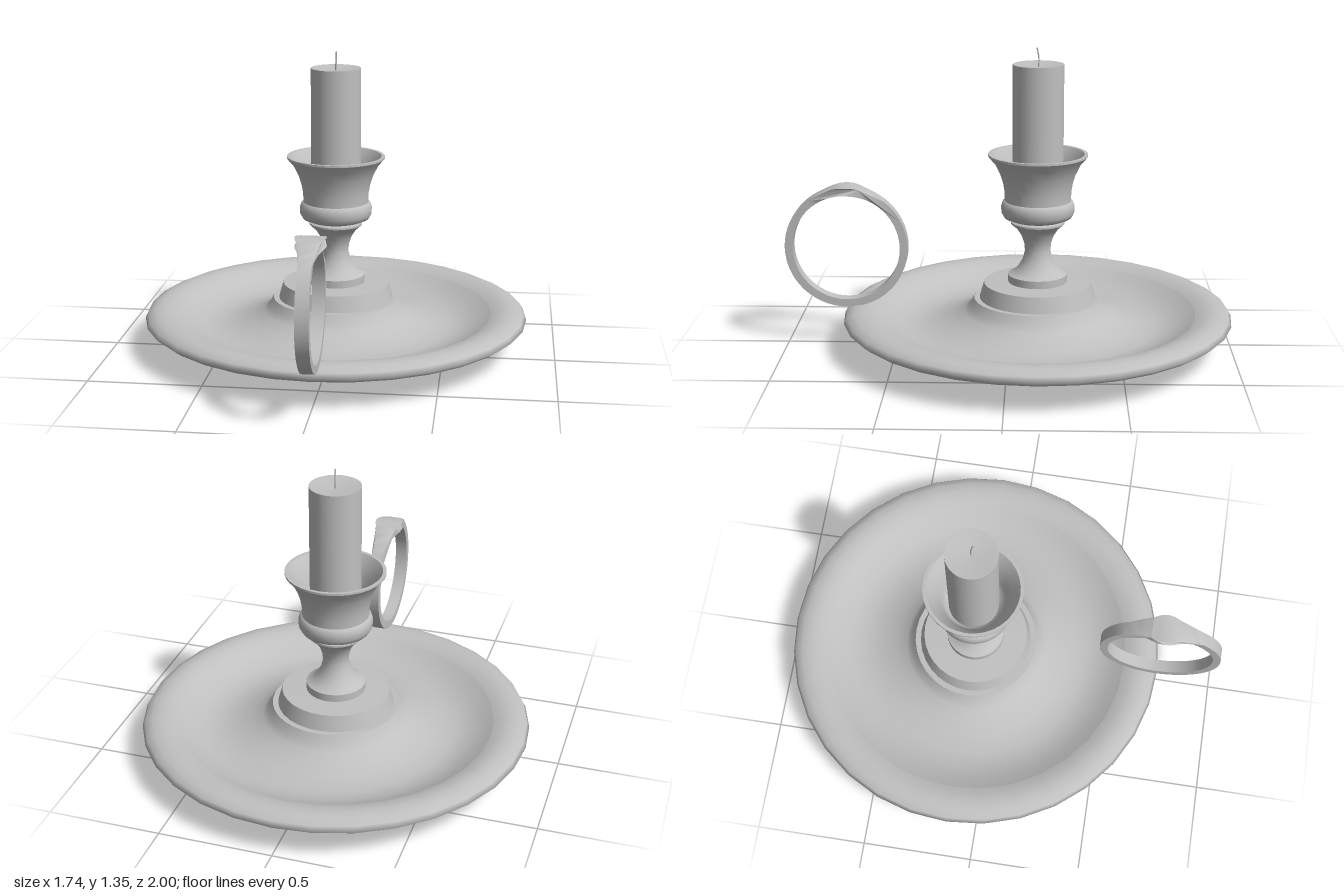
import * as THREE from 'three';
import { toCreasedNormals } from 'three/addons/utils/BufferGeometryUtils.js';

const AXIS_Z = -0.13; // the dish and candle share this upright axis

export function createModel() {
  const model = new THREE.Group();
  model.name = 'chamberCandlestick';
  const metal = new THREE.MeshStandardMaterial({ color: 0xc0c0c0, side: THREE.DoubleSide });
  metal.name = 'plain grey';

  // Turned part: each run of [radius, y] points is smooth, with a sharp edge between runs
  function turned(name, runs, segments = 32) {
    const group = new THREE.Group();
    group.name = name;
    for (const run of runs) {
      const points = run.map(([r, y]) => new THREE.Vector2(r, y));
      const mesh = new THREE.Mesh(new THREE.LatheGeometry(points, segments), metal);
      mesh.name = name + 'Surface';
      group.add(mesh);
    }
    group.position.z = AXIS_Z;
    model.add(group);
  }

  turned('foot', [
    [[0, 0], [0.355, 0]],
    [[0.355, 0], [0.355, 0.04]],
  ]);

  // Dish with a rolled rim and a raised centre
  turned('dish', [
    [[0.3, 0.036], [0.355, 0.04], [0.5, 0.052], [0.66, 0.075], [0.78, 0.1], [0.845, 0.122],
      [0.87, 0.142], [0.858, 0.165], [0.825, 0.181], [0.785, 0.186], [0.745, 0.18], [0.71, 0.165]],
    [[0.71, 0.165], [0.66, 0.136], [0.6, 0.112], [0.53, 0.1], [0.45, 0.113],
      [0.38, 0.138], [0.33, 0.165], [0.305, 0.188], [0.285, 0.225]],
  ]);

  turned('steppedBase', [
    [[0.285, 0.225], [0.26, 0.225]],
    [[0.26, 0.225], [0.24, 0.295]],
    [[0.24, 0.295], [0.1, 0.3]],
  ]);

  turned('stem', [
    [[0.132, 0.298], [0.132, 0.333]],
    [[0.132, 0.333], [0.112, 0.342], [0.088, 0.365], [0.067, 0.4], [0.057, 0.44],
      [0.06, 0.475], [0.072, 0.51], [0.092, 0.542], [0.12, 0.567]],
    [[0.12, 0.567], [0.12, 0.575]],
    [[0.12, 0.575], [0.1, 0.576], [0.1, 0.586]],
  ]);

  // Flared socket, hollow above
  turned('socket', [
    [[0.08, 0.583], [0.12, 0.585]],
    [[0.12, 0.585], [0.15, 0.597], [0.162, 0.618], [0.163, 0.645], [0.157, 0.665], [0.147, 0.672]],
    [[0.147, 0.672], [0.148, 0.71], [0.155, 0.752], [0.169, 0.795], [0.19, 0.838], [0.22, 0.873]],
    [[0.22, 0.873], [0.22, 0.882]],
    [[0.22, 0.882], [0.205, 0.882]],
    [[0.205, 0.882], [0.178, 0.843], [0.155, 0.795], [0.14, 0.75], [0.125, 0.71], [0.09, 0.69]],
  ]);

  turned('candle', [
    [[0.112, 0.66], [0.112, 1.278]],
    [[0.112, 1.278], [0.1, 1.277], [0.06, 1.27], [0, 1.266]],
  ]);

  // Wick, slightly bent
  const wickPath = new THREE.CatmullRomCurve3([
    new THREE.Vector3(0, 1.26, AXIS_Z),
    new THREE.Vector3(0, 1.3, AXIS_Z - 0.002),
    new THREE.Vector3(0.002, 1.35, AXIS_Z + 0.006),
  ]);
  const wick = new THREE.Mesh(new THREE.TubeGeometry(wickPath, 8, 0.0035, 6), metal);
  wick.name = 'wick';
  model.add(wick);

  // Ring handle: flat band that swells into a thumb rest at the top
  const ring = new THREE.Shape().absarc(0, 0, 0.275, 0, Math.PI * 2);
  ring.holes.push(new THREE.Path().absarc(0, 0, 0.24, 0, Math.PI * 2, true));
  const band = new THREE.ExtrudeGeometry(ring, { depth: 1, bevelEnabled: false, curveSegments: 28 });
  const pos = band.attributes.position;
  for (let i = 0; i < pos.count; i++) {
    const x = pos.getX(i), y = pos.getY(i);
    const swell = y > 0 && Math.abs(x) < 0.13 ? Math.cos((x / 0.13) * Math.PI / 2) ** 2 : 0;
    const halfWidth = 0.028 + 0.037 * swell;
    pos.setZ(i, pos.getZ(i) > 0.5 ? halfWidth : -halfWidth);
    pos.setY(i, y + 0.006 * swell);
  }
  band.rotateY(Math.PI / 2);
  const handle = new THREE.Mesh(toCreasedNormals(band, 0.6), metal);
  handle.name = 'ringHandle';
  handle.position.set(0, 0.452, 0.725);
  model.add(handle);

  return model;
}
